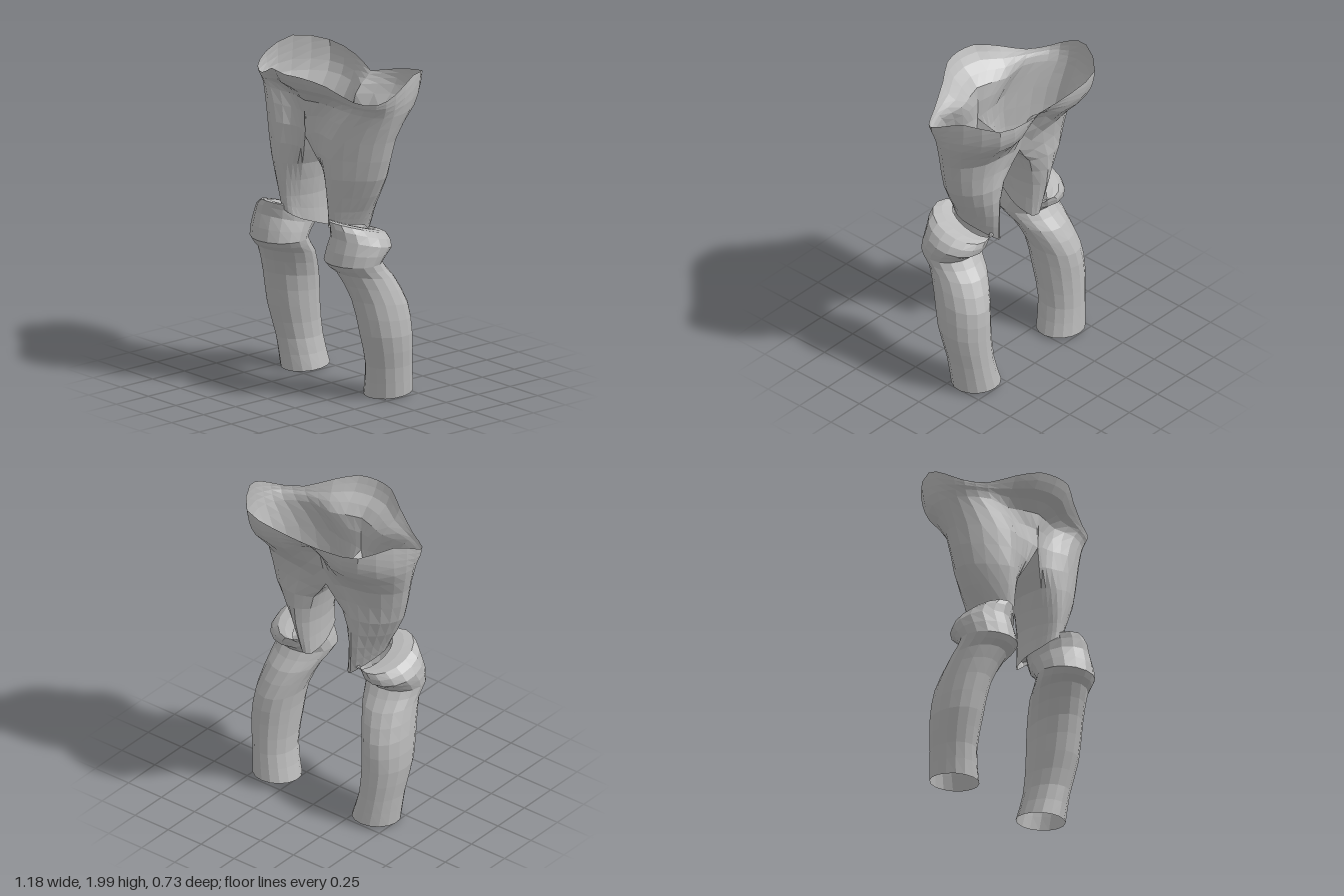
import * as THREE from 'three';

const cloth = new THREE.MeshStandardMaterial({ color: 0xb8b8b8, flatShading: true, side: THREE.DoubleSide });
cloth.name = 'grey cloth';

const V = (x, y, z) => new THREE.Vector3(x, y, z);
const smooth = (points, steps) =>
  new THREE.CatmullRomCurve3(points, false, 'catmullrom', 0.5).getPoints(steps);

// Rounds a coarse grid of section points, first down the columns, then along the rows
function refine(rows, down, across) {
  const columns = rows[0].map((_, i) => smooth(rows.map(r => r[i]), down));
  return columns[0].map((_, j) => smooth(columns.map(c => c[j]), across));
}

// Skins a grid of points; side -1 mirrors it and swaps the corners
function skin(name, grid, side) {
  const pos = [];
  const put = (...pts) => {
    if (side < 0) pts.reverse();
    pts.forEach(p => pos.push(p.x * side, p.y, p.z));
  };
  for (let j = 0; j < grid.length - 1; j++) {
    for (let i = 0; i < grid[j].length - 1; i++) {
      const a = grid[j][i], b = grid[j][i + 1], c = grid[j + 1][i], d = grid[j + 1][i + 1];
      put(a, c, b);
      put(b, c, d);
    }
  }
  const geo = new THREE.BufferGeometry();
  geo.setAttribute('position', new THREE.Float32BufferAttribute(pos, 3));
  geo.computeVertexNormals();
  const mesh = new THREE.Mesh(geo, cloth);
  mesh.name = name;
  return mesh;
}

// Flared waist: sections run from the front seam round the outside to the back seam
const waist = [
  [[0, 1.98, .365], [.12, 1.98, .34], [.25, 1.94, .26], [.41, 1.865, .185], [.54, 1.86, .11], [.588, 1.92, 0], [.545, 1.995, -.17], [.42, 1.96, -.35], [.2, 1.92, -.36], [0, 1.87, -.31]],
  [[0, 1.89, .315], [.12, 1.89, .29], [.24, 1.87, .22], [.4, 1.835, .175], [.53, 1.83, .11], [.58, 1.85, 0], [.545, 1.9, -.17], [.41, 1.88, -.345], [.19, 1.86, -.35], [0, 1.83, -.27]],
  [[0, 1.79, .21], [.1, 1.79, .18], [.2, 1.78, .155], [.36, 1.78, .165], [.5, 1.77, .1], [.56, 1.77, 0], [.535, 1.78, -.15], [.39, 1.78, -.31], [.18, 1.77, -.31], [0, 1.75, -.19]],
];
// Thigh: the same sections carried down from the crotch to a point behind the knee
const thigh = [
  [[0, 1.57, .205], [.06, 1.6, .185], [.15, 1.6, .19], [.25, 1.6, .215], [.42, 1.6, .14], [.515, 1.6, .02], [.48, 1.6, -.09], [.35, 1.6, -.175], [.16, 1.57, -.17], [0, 1.5, -.13]],
  [[.1, 1.36, .14], [.14, 1.36, .18], [.2, 1.36, .215], [.26, 1.36, .22], [.38, 1.36, .14], [.455, 1.36, .04], [.43, 1.36, -.06], [.34, 1.36, -.14], [.21, 1.36, -.165], [.11, 1.35, -.11]],
  [[.145, 1.15, .12], [.17, 1.15, .17], [.205, 1.15, .2], [.25, 1.15, .19], [.31, 1.15, .13], [.345, 1.15, .05], [.335, 1.15, -.03], [.28, 1.15, -.11], [.21, 1.15, -.155], [.15, 1.15, -.1]],
  [[.14, 1.0, .1], [.16, 1.03, .16], [.2, 1.06, .19], [.24, 1.07, .18], [.28, 1.07, .13], [.3, 1.06, .06], [.29, 1.04, -.01], [.24, .99, -.08], [.18, .94, -.125], [.14, .93, -.1]],
];

// Knee and shin rings: height, centre x, centre z, radius x, radius z, slope to the front
const shin = [
  [1.04, .23, .03, .09, .15, .33],
  [1.05, .305, .06, .145, .19, .3],
  [.97, .345, .065, .18, .185, .25],
  [.86, .335, .12, .185, .165, 0],
  [.77, .355, .045, .165, .18, .15],
  [.6, .4, -.03, .148, .185, .15],
  [.4, .417, -.065, .145, .17, .05],
  [.2, .405, -.1, .13, .15, 0],
  [.015, .375, -.12, .145, .15, -.09],
];

function shinGrid() {
  const n = 16;
  const rings = shin.map(([y, cx, cz, rx, rz, slope]) =>
    Array.from({ length: n + 1 }, (_, i) => {
      const a = i / n * Math.PI * 2;
      const z = Math.cos(a) * rz;
      return V(cx + Math.sin(a) * rx, y + z * slope, cz + z);
    }));
  return refine(rings, (rings.length - 1) * 2, n);
}

// Inner thigh: bridges the back seam to the front seam below the crotch, bulging inwards
function innerGrid(outer) {
  return outer.map((row, j) => {
    const front = row[0], back = row[row.length - 1];
    return Array.from({ length: 6 }, (_, i) => {
      const t = i / 5, p = back.clone().lerp(front, t);
      p.x -= Math.sin(t * Math.PI) * 0.02 * Math.min(1, j / 3);
      return p;
    });
  });
}

export function createModel() {
  const model = new THREE.Group();
  model.name = 'trousers';

  const steps = 2; // grid rows per section
  const sections = [...waist, ...thigh].map(r => r.map(p => V(...p)));
  const outer = refine(sections, (sections.length - 1) * steps, 18);
  const crotch = waist.length * steps;

  for (const side of [1, -1]) {
    const leg = new THREE.Group();
    leg.name = side > 0 ? 'leftLeg' : 'rightLeg';
    leg.add(
      skin('waist', outer.slice(0, crotch + 1), side),
      skin('outerThigh', outer.slice(crotch), side),
      skin('innerThigh', innerGrid(outer.slice(crotch)), side),
      skin('kneeAndShin', shinGrid(), side),
    );
    model.add(leg);
  }
  return model;
}
